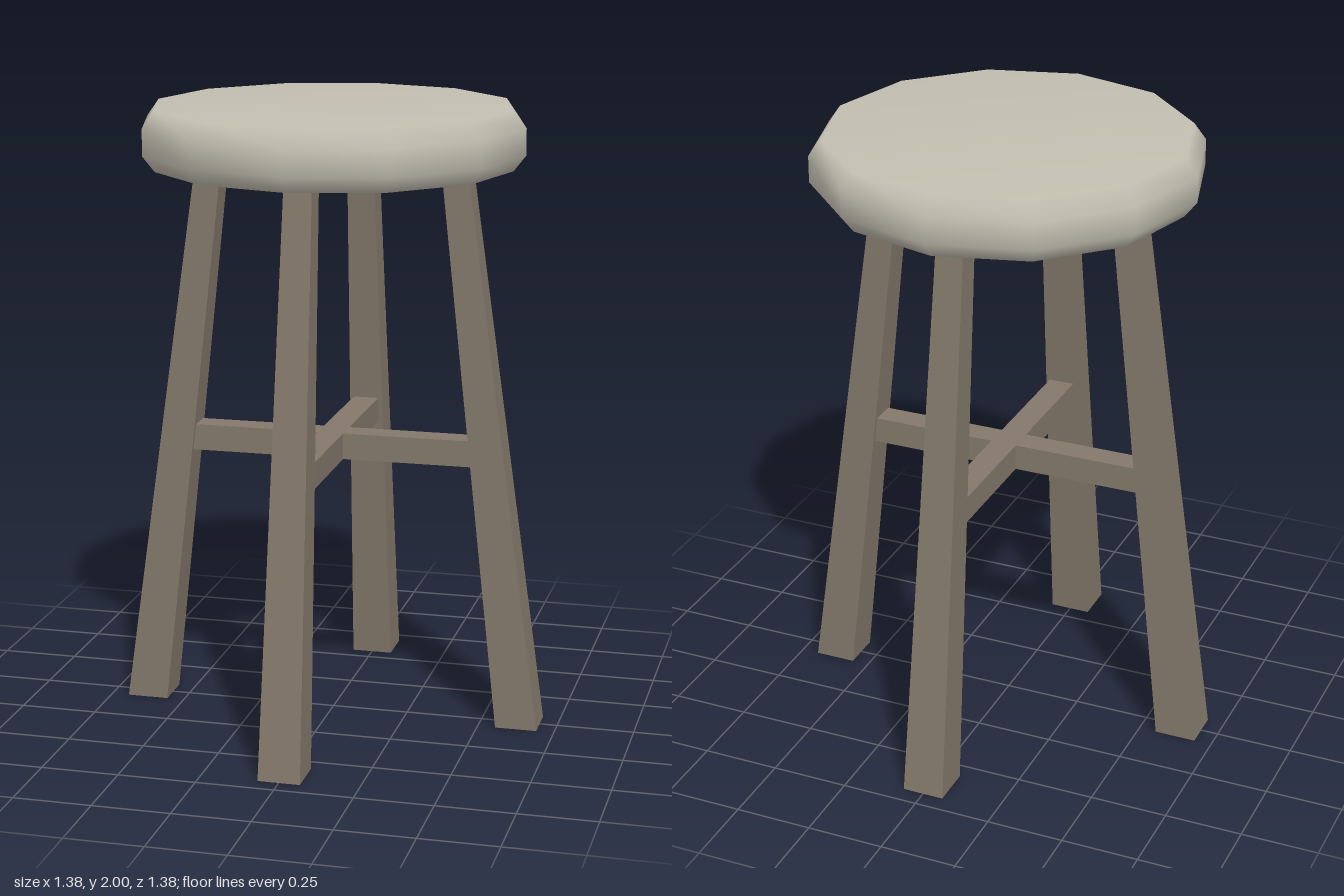
import * as THREE from 'three';

// Box between two heights whose ends have their own size and x offset
function taperedLeg(y0, x0, w0, y1, x1, w1, d0, d1) {
  const geo = new THREE.BoxGeometry(1, 1, 1);
  const p = geo.attributes.position;
  for (let i = 0; i < p.count; i++) {
    const top = p.getY(i) > 0;
    p.setXYZ(i,
      (top ? x1 : x0) + p.getX(i) * (top ? w1 : w0),
      top ? y1 : y0,
      p.getZ(i) * (top ? d1 : d0));
  }
  geo.computeVertexNormals();
  return geo;
}

export function createModel() {
  const stool = new THREE.Group();
  stool.name = 'stool';

  const cushionMat = new THREE.MeshStandardMaterial({ color: 0xc2beb0 });
  cushionMat.name = 'pale grey seat';
  const woodMat = new THREE.MeshStandardMaterial({ color: 0x83786a });
  woodMat.name = 'brown grey wood';

  // Twelve-sided seat with softened rims
  const profile = [[0, 1.81], [0.575, 1.81], [0.614, 1.86], [0.614, 1.945], [0.575, 2], [0, 2]]
    .map(([r, y]) => new THREE.Vector2(r, y));
  const seat = new THREE.Mesh(new THREE.LatheGeometry(profile, 12), cushionMat);
  seat.name = 'seat';
  stool.add(seat);

  // Four splayed, tapering legs
  const legGeo = taperedLeg(0, 0.625, 0.135, 1.82, 0.398, 0.085, 0.135, 0.088);
  ['leftLeg', 'backLeg', 'rightLeg', 'frontLeg'].forEach((name, i) => {
    const leg = new THREE.Mesh(legGeo, woodMat);
    leg.name = name;
    leg.rotation.y = i * Math.PI / 2;
    stool.add(leg);
  });

  // Crossed stretchers joining opposite legs
  const barGeo = new THREE.BoxGeometry(1, 0.085, 0.085);
  const sideBar = new THREE.Mesh(barGeo, woodMat);
  sideBar.name = 'sideStretcher';
  sideBar.position.y = 0.905;
  stool.add(sideBar);
  const depthBar = new THREE.Mesh(barGeo, woodMat);
  depthBar.name = 'depthStretcher';
  depthBar.position.y = 0.905;
  depthBar.rotation.y = Math.PI / 2;
  stool.add(depthBar);

  return stool;
}
